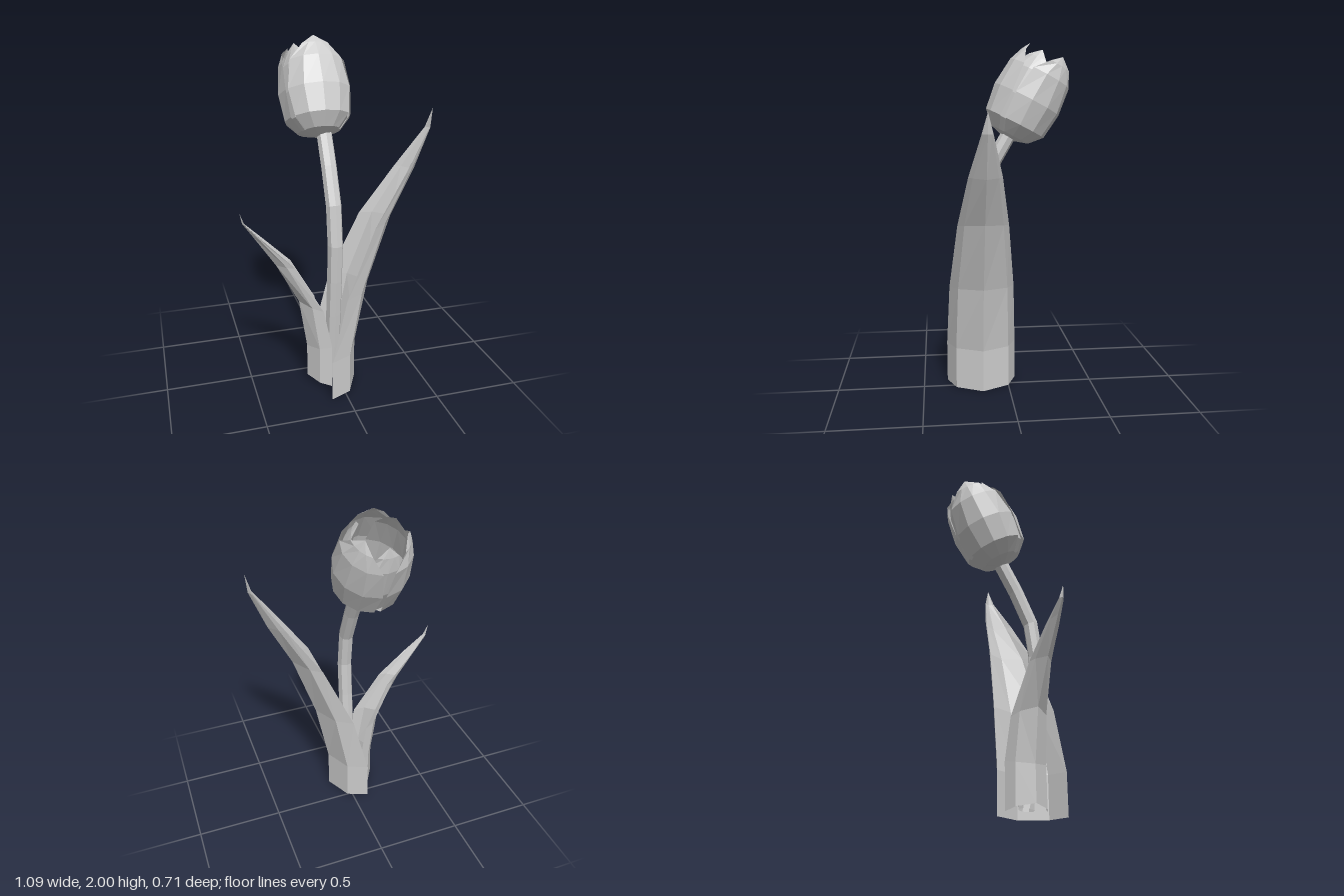
import * as THREE from 'three';

const material = new THREE.MeshStandardMaterial({
  color: 0xcccccc, flatShading: true, side: THREE.DoubleSide,
});

// Joins rows of points (all the same length) into one open sheet
function loft(name, rows) {
  const n = rows[0].length;
  const index = [];
  for (let r = 0; r < rows.length - 1; r++) {
    for (let c = 0; c < n - 1; c++) {
      const a = r * n + c;
      index.push(a, a + 1, a + n + 1, a, a + n + 1, a + n);
    }
  }
  const geometry = new THREE.BufferGeometry();
  geometry.setAttribute('position', new THREE.Float32BufferAttribute(rows.flat(2), 3));
  geometry.setIndex(index);
  geometry.computeVertexNormals();
  const mesh = new THREE.Mesh(geometry, material);
  mesh.name = name;
  return mesh;
}

// Folded leaf, symmetric about z = centreZ.
// Each row: margin x, margin y, midrib x, midrib y, half width, shoulder depth
function leaf(name, centreZ, rows) {
  return loft(name, rows.map(([ex, ey, mx, my, w, t]) => {
    const sx = ex + (mx - ex) * t;
    const sy = ey + (my - ey) * t;
    return [
      [ex, ey, centreZ + w], [sx, sy, centreZ + w * 0.75], [mx, my, centreZ],
      [sx, sy, centreZ - w * 0.75], [ex, ey, centreZ - w],
    ];
  }));
}

// Cupped petal. Profile rows: height, radius, half angle
const petalProfile = [
  [0, 0.02, 0.9], [0.03, 0.12, 0.9], [0.10, 0.185, 0.95], [0.25, 0.205, 1.0],
  [0.41, 0.187, 0.88], [0.49, 0.155, 0.48], [0.54, 0.125, 0],
];
function petal(name, angle, radiusScale, heightScale, widthScale) {
  return loft(name, petalProfile.map(([h, r, half]) =>
    [-1, -0.5, 0, 0.5, 1].map((u) => {
      const a = angle + u * half * widthScale;
      return [Math.sin(a) * r * radiusScale, h * heightScale, Math.cos(a) * r * radiusScale];
    })));
}

export function createModel() {
  const model = new THREE.Group();
  model.name = 'tulip';

  // Stem, bending backwards towards the flower
  const path = new THREE.CurvePath();
  const points = [[0.03, 0.14], [0.4, 0.18], [0.78, 0.212], [1.03, 0.212], [1.25, 0.125], [1.5, -0.015]]
    .map(([y, z]) => new THREE.Vector3(-0.035, y, z));
  const curve = new THREE.CatmullRomCurve3(points);
  path.add(curve);
  const stem = new THREE.Mesh(new THREE.TubeGeometry(curve, 7, 0.044, 8), material);
  stem.name = 'stem';
  model.add(stem);

  // Leaves
  model.add(leaf('largeLeaf', 0.155, [
    [-0.09, 0, 0.105, 0, 0.205, 0.615],
    [-0.09, 0.24, 0.105, 0.245, 0.205, 0.615],
    [0, 0.61, 0.18, 0.63, 0.188, 0.55],
    [0.17, 1.0, 0.31, 1.02, 0.143, 0.48],
    [0.36, 1.285, 0.44, 1.28, 0.09, 0.4],
    [0.51, 1.51, 0.53, 1.51, 0.03, 0.35],
    [0.54, 1.62, 0.54, 1.62, 0, 0.3],
  ]));
  model.add(leaf('smallLeaf', 0.127, [
    [-0.06, 0.01, -0.18, 0.04, 0.12, 0.55],
    [-0.06, 0.27, -0.18, 0.24, 0.12, 0.55],
    [-0.105, 0.5, -0.225, 0.535, 0.105, 0.5],
    [-0.257, 0.77, -0.353, 0.775, 0.063, 0.45],
    [-0.415, 0.93, -0.48, 0.965, 0.038, 0.4],
    [-0.52, 1.035, -0.532, 1.04, 0.014, 0.35],
    [-0.545, 1.105, -0.545, 1.105, 0, 0.3],
  ]));

  // Flower: three outer petals around three inner ones, tilted backwards
  const flower = new THREE.Group();
  flower.name = 'flower';
  for (let i = 0; i < 3; i++) {
    const angle = i * Math.PI * 2 / 3;
    flower.add(petal('outerPetal', angle, 1, 1, 1));
    flower.add(petal('innerPetal', angle + Math.PI / 3, 0.9, 0.97, 0.85));
  }
  flower.position.set(-0.06, 1.46, 0);
  flower.rotation.x = -THREE.MathUtils.degToRad(27);
  model.add(flower);

  return model;
}
